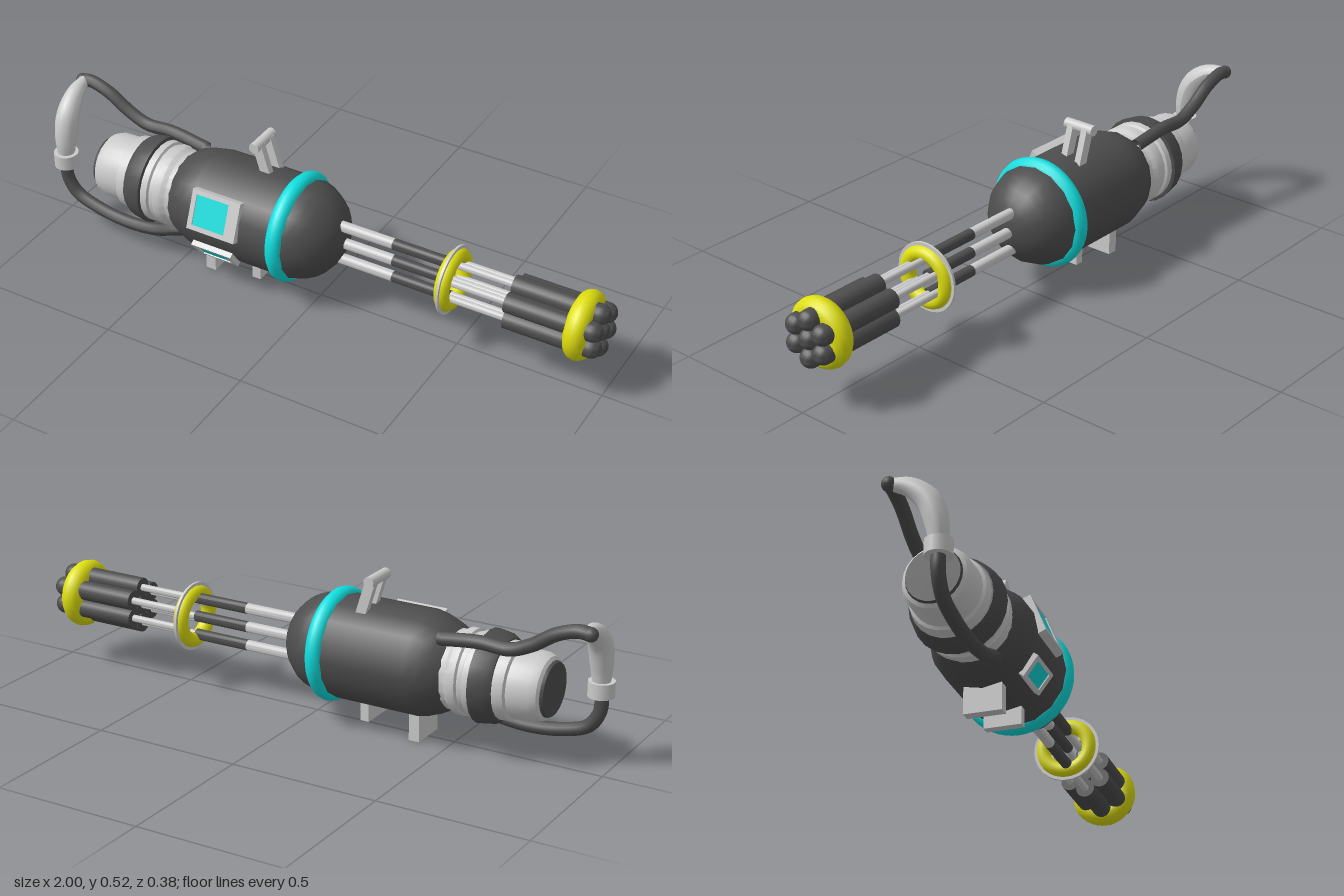
import * as THREE from 'three';
import { toCreasedNormals } from 'three/addons/utils/BufferGeometryUtils.js';

const mat = (color) => new THREE.MeshStandardMaterial({ color, side: THREE.DoubleSide });
const V = (x, y, z) => new THREE.Vector3(x, y, z);

export function createModel() {
  const root = new THREE.Group();
  const light = mat(0xcccccc), dark = mat(0x4d4d4d), cyan = mat(0x10dede), yellow = mat(0xdede10);
  const BODY_Y = 0.247, GUN_Y = 0.238, GUN_Z = -0.011;

  function add(name, geo, material, x = 0, y = 0, z = 0, parent = root) {
    const mesh = new THREE.Mesh(geo, material);
    mesh.name = name;
    mesh.position.set(x, y, z);
    parent.add(mesh);
    return mesh;
  }
  // Turned part along x from [x, radius] pairs
  function turned(pairs, sides = 24, crease = 0.6) {
    const geo = new THREE.LatheGeometry(pairs.map(([x, r]) => new THREE.Vector2(r, x)), sides);
    return toCreasedNormals(geo.rotateZ(-Math.PI / 2), crease);
  }
  const rod = (x0, x1, r, sides = 14) => turned([[x0, 0], [x0, r], [x1, r], [x1, 0]], sides);
  // Tube whose radius follows a rule along its length
  function taperedTube(points, radiusAt, segments = 30, sides = 12) {
    const curve = new THREE.CatmullRomCurve3(points);
    const geo = new THREE.TubeGeometry(curve, segments, 1, sides, false);
    const pos = geo.attributes.position, v = V(0, 0, 0);
    for (let i = 0; i < pos.count; i++) {
      const t = Math.floor(i / (sides + 1)) / segments;
      const c = curve.getPointAt(t);
      v.fromBufferAttribute(pos, i).sub(c).multiplyScalar(radiusAt(t)).add(c);
      pos.setXYZ(i, v.x, v.y, v.z);
    }
    geo.computeVertexNormals();
    return geo;
  }

  // Main housing with domed nose
  const housing = [[-0.51, 0], [-0.51, 0.125], [-0.48, 0.147], [-0.44, 0.162], [-0.4, 0.17], [-0.08, 0.17]];
  for (let i = 1; i <= 8; i++) {
    const a = (i / 8) * Math.PI / 2;
    housing.push([-0.08 + 0.17 * Math.sin(a), i === 8 ? 0 : 0.17 * Math.cos(a)]);
  }
  add('housing', turned(housing, 16, 0.7), dark, 0, BODY_Y, 0);
  const band = new THREE.TorusGeometry(0.157, 0.03, 12, 48).rotateY(Math.PI / 2);
  add('housingBand', band, cyan, -0.082, BODY_Y, 0);

  // Stepped motor at the rear
  add('rearCollar', turned([[-0.62, 0.12], [-0.62, 0.138], [-0.585, 0.138], [-0.58, 0.13], [-0.565, 0.13],
    [-0.56, 0.138], [-0.535, 0.138], [-0.52, 0.128], [-0.49, 0.128]]), light, 0, BODY_Y, 0);
  add('rearBand', turned([[-0.68, 0.1], [-0.68, 0.13], [-0.66, 0.142], [-0.61, 0.15], [-0.605, 0.12]]),
    dark, 0, BODY_Y, 0);
  add('rearHousing', turned([[-0.825, 0.085], [-0.815, 0.1], [-0.79, 0.11], [-0.72, 0.112], [-0.715, 0.122],
    [-0.69, 0.125], [-0.67, 0.125]]), light, 0, BODY_Y, 0);
  add('rearCap', turned([[-0.832, 0], [-0.832, 0.085], [-0.815, 0.092], [-0.8, 0.092]]), dark, 0, BODY_Y, 0);

  // Carrier rods in one vertical row
  for (const dy of [-0.064, 0, 0.064]) {
    add('carrierRod', rod(0.03, 0.265, 0.018), light, 0, GUN_Y + dy, -0.006);
    add('carrierSleeve', rod(0.262, 0.465, 0.0185), dark, 0, GUN_Y + dy, -0.006);
  }

  // Rotating cluster: six barrels around a central one
  const cluster = new THREE.Group();
  cluster.name = 'barrelCluster';
  cluster.position.set(0, GUN_Y, GUN_Z);
  root.add(cluster);
  const barrel = [[0.68, 0], [0.68, 0.033], [0.965, 0.033]];
  for (let i = 1; i <= 6; i++) {
    const a = (i / 6) * Math.PI / 2;
    barrel.push([0.965 + 0.033 * Math.sin(a), i === 6 ? 0 : 0.033 * Math.cos(a)]);
  }
  for (let i = 0; i < 7; i++) {
    const r = i < 6 ? 0.062 : 0, a = (i / 6) * Math.PI * 2;
    const y = r * Math.cos(a), z = r * Math.sin(a);
    add('barrel', turned(barrel, 18), dark, 0, y, z, cluster);
    add('barrelRod', rod(0.46, 0.69, 0.012), light, 0, y, z, cluster);
  }
  const frontRing = new THREE.TorusGeometry(0.077, 0.037, 14, 40).rotateY(Math.PI / 2);
  add('frontRing', frontRing, yellow, 0.917, 0, 0, cluster);
  const rearRing = new THREE.TorusGeometry(0.08, 0.025, 14, 40).rotateY(Math.PI / 2);
  add('rearRing', rearRing, yellow, 0.47, 0, 0, cluster);
  add('ringFlange', turned([[0.466, 0.09], [0.466, 0.115], [0.474, 0.115], [0.474, 0.09]], 32),
    light, 0, 0, 0, cluster);

  // Rear grip with swelling middle and lower collar
  const grip = [V(-0.965, 0.482, -0.08), V(-0.962, 0.462, -0.02), V(-0.957, 0.41, 0.035),
    V(-0.955, 0.33, 0.06), V(-0.955, 0.24, 0.065)];
  add('grip', taperedTube(grip, (t) => 0.019 + 0.02 * Math.sin(Math.PI * Math.min(1, t * 0.95))), light);
  add('gripCollar', new THREE.CylinderGeometry(0.042, 0.042, 0.05, 18), light, -0.955, 0.255, 0.065);

  // Cables joining the grip to the housing
  const upper = [V(-0.975, 0.478, -0.083), V(-0.94, 0.482, -0.085), V(-0.87, 0.46, -0.085),
    V(-0.79, 0.41, -0.085), V(-0.72, 0.382, -0.085), V(-0.62, 0.385, -0.085), V(-0.48, 0.368, -0.08)];
  const lower = [V(-0.957, 0.24, 0.065), V(-0.955, 0.18, 0.065), V(-0.92, 0.125, 0.065), V(-0.84, 0.095, 0.067),
    V(-0.72, 0.08, 0.07), V(-0.6, 0.092, 0.072), V(-0.52, 0.12, 0.07), V(-0.45, 0.14, 0.06)];
  add('upperCable', taperedTube(upper, () => 0.022, 40), dark);
  add('lowerCable', taperedTube(lower, () => 0.022, 40), dark);
  add('cableElbow', new THREE.SphereGeometry(0.023, 14, 10), dark, -0.975, 0.478, -0.083);

  // Top sight: crossbar on two leaning posts
  add('sightBar', new THREE.CylinderGeometry(0.018, 0.018, 0.111, 16).rotateX(Math.PI / 2),
    light, -0.237, 0.506, -0.037);
  for (const z of [-0.009, -0.066]) {
    const post = add('sightPost', new THREE.BoxGeometry(0.034, 0.125, 0.023), light, -0.217, 0.447, z);
    post.rotation.z = 0.3;
  }

  // Feet under the housing
  add('rearFoot', new THREE.BoxGeometry(0.036, 0.12, 0.123), light, -0.388, 0.06, 0);
  add('frontFoot', new THREE.BoxGeometry(0.03, 0.08, 0.123), light, -0.21, 0.069, 0);

  // Framed screens on the front side, turned about the housing axis
  function screen(name, x, angle, w, h, sx, sw, sh) {
    const group = new THREE.Group();
    group.name = name;
    group.position.set(x, BODY_Y, 0);
    group.rotation.x = -angle;
    root.add(group);
    const frame = new THREE.Shape([[-w, -h], [w, -h], [w, h], [-w, h]].map(([a, b]) => new THREE.Vector2(a / 2, b / 2)));
    frame.holes.push(new THREE.Path([[-sw, -sh], [-sw, sh], [sw, sh], [sw, -sh]]
      .map(([a, b]) => new THREE.Vector2(sx + a / 2, b / 2))));
    add('frame', new THREE.ExtrudeGeometry(frame, { depth: 0.04, bevelEnabled: false }), light, 0, 0, 0.143, group);
    add('panel', new THREE.BoxGeometry(sw, sh, 0.03), cyan, sx, 0, 0.164, group);
  }
  screen('upperScreen', -0.3, 0.38, 0.178, 0.135, -0.012, 0.12, 0.104);
  screen('lowerScreen', -0.315, -0.64, 0.15, 0.078, 0, 0.108, 0.056);

  return root;
}
